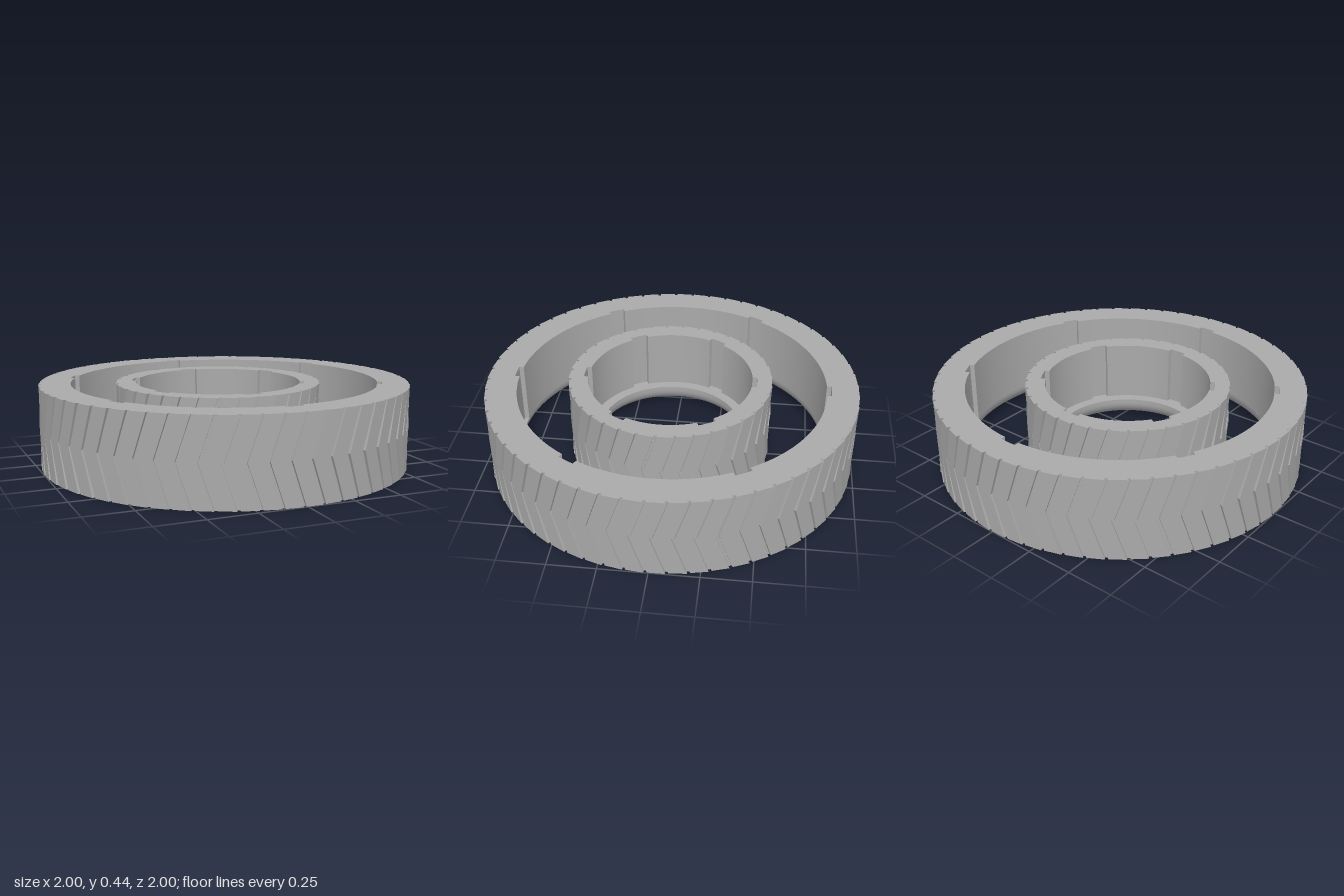
import * as THREE from 'three';
import { toCreasedNormals } from 'three/addons/utils/BufferGeometryUtils.js';

const HEIGHT = 0.445;
const SEGMENTS = 120;
const SLOTS = 6;

// Upper band: round outside, bore with six key slots cut into it
function bandGeometry({ base, wall, slotR, slotWidth, ledge }) {
  const shape = new THREE.Shape();
  for (let i = 0; i < SEGMENTS; i++) {
    const a = (i / SEGMENTS) * Math.PI * 2;
    shape[i ? 'lineTo' : 'moveTo'](base * Math.cos(a), base * Math.sin(a));
  }
  shape.closePath();

  const points = [];
  const pitch = (Math.PI * 2) / SLOTS;
  const half = Math.asin(slotWidth / 2 / wall);
  const halfDeep = Math.asin(slotWidth / 2 / slotR);
  const add = (r, a) => points.push(new THREE.Vector2(r * Math.cos(a), r * Math.sin(a)));
  for (let s = 0; s < SLOTS; s++) {
    const mid = Math.PI / 6 + s * pitch;
    for (let j = -1; j <= 1; j++) add(slotR, mid + j * halfDeep);
    const steps = SEGMENTS / SLOTS;
    for (let j = 0; j <= steps; j++) add(wall, mid + half + (j / steps) * (pitch - 2 * half));
  }
  shape.holes.push(new THREE.Path(points));

  const geo = new THREE.ExtrudeGeometry(shape, { depth: HEIGHT - ledge, bevelEnabled: false });
  geo.rotateX(-Math.PI / 2).translate(0, ledge, 0);
  return toCreasedNormals(geo, 0.5);
}

// Lower band: ledge, rounded inner bottom edge and flat rim
function bottomGeometry({ base, hole, slotR, ledge, filletW, filletH }) {
  const pts = [new THREE.Vector2(slotR + 0.01, ledge), new THREE.Vector2(hole, ledge)];
  const steps = 12;
  for (let i = ledge > filletH ? 0 : 1; i <= steps; i++) {
    const t = (i / steps) * Math.PI / 2;
    pts.push(new THREE.Vector2(
      hole + filletW * (1 - Math.cos(t)),
      filletH * (1 - Math.sin(t))
    ));
  }
  pts.push(new THREE.Vector2(base, 0), new THREE.Vector2(base, ledge));
  return toCreasedNormals(new THREE.LatheGeometry(pts, SEGMENTS), 0.5);
}

// One flat chevron tread block, its point leaning to -x
function chevronGeometry(width, lean, thickness) {
  const x = (lean - width) / 2;
  const shape = new THREE.Shape([
    [x, 0], [x + width, 0], [x + width - lean, HEIGHT / 2],
    [x + width, HEIGHT], [x, HEIGHT], [x - lean, HEIGHT / 2],
  ].map(([px, py]) => new THREE.Vector2(px, py)));
  return new THREE.ExtrudeGeometry(shape, { depth: thickness, bevelEnabled: false });
}

function makeRing(name, spec, material) {
  const ring = new THREE.Group();
  ring.name = name;
  const addMesh = (part, geo, parent = ring) => {
    const mesh = new THREE.Mesh(geo, material);
    mesh.name = part;
    parent.add(mesh);
    return mesh;
  };
  addMesh('slottedBand', bandGeometry(spec));
  addMesh('roundedBottom', bottomGeometry(spec));

  // Chevron blocks around the outside
  const tread = new THREE.Group();
  tread.name = 'chevronTread';
  ring.add(tread);
  const sink = 0.008;
  const block = chevronGeometry(spec.blockWidth, spec.lean, spec.blockR - spec.base + sink);
  block.translate(0, 0, spec.base - sink);
  for (let i = 0; i < spec.blocks; i++) {
    addMesh('treadBlock', block, tread).rotation.y = (i / spec.blocks) * Math.PI * 2;
  }
  return ring;
}

export function createModel() {
  const grey = new THREE.MeshStandardMaterial({ color: 0xaaaaaa });
  grey.name = 'plain grey';

  const model = new THREE.Group();
  model.name = 'treadRings';

  const outer = makeRing('outerRing', {
    base: 0.985, wall: 0.83, hole: 0.83, slotR: 0.855, slotWidth: 0.09,
    ledge: 0.1, filletW: 0.13, filletH: 0.1,
    blocks: 60, blockWidth: 0.088, lean: 0.075, blockR: 0.997,
  }, grey);

  const inner = makeRing('innerRing', {
    base: 0.537, wall: 0.445, hole: 0.39, slotR: 0.47, slotWidth: 0.095,
    ledge: 0.12, filletW: 0.13, filletH: 0.1,
    blocks: 36, blockWidth: 0.08, lean: 0.07, blockR: 0.548,
  }, grey);
  inner.position.set(-0.043, 0, 0.013);

  model.add(outer, inner);
  return model;
}
